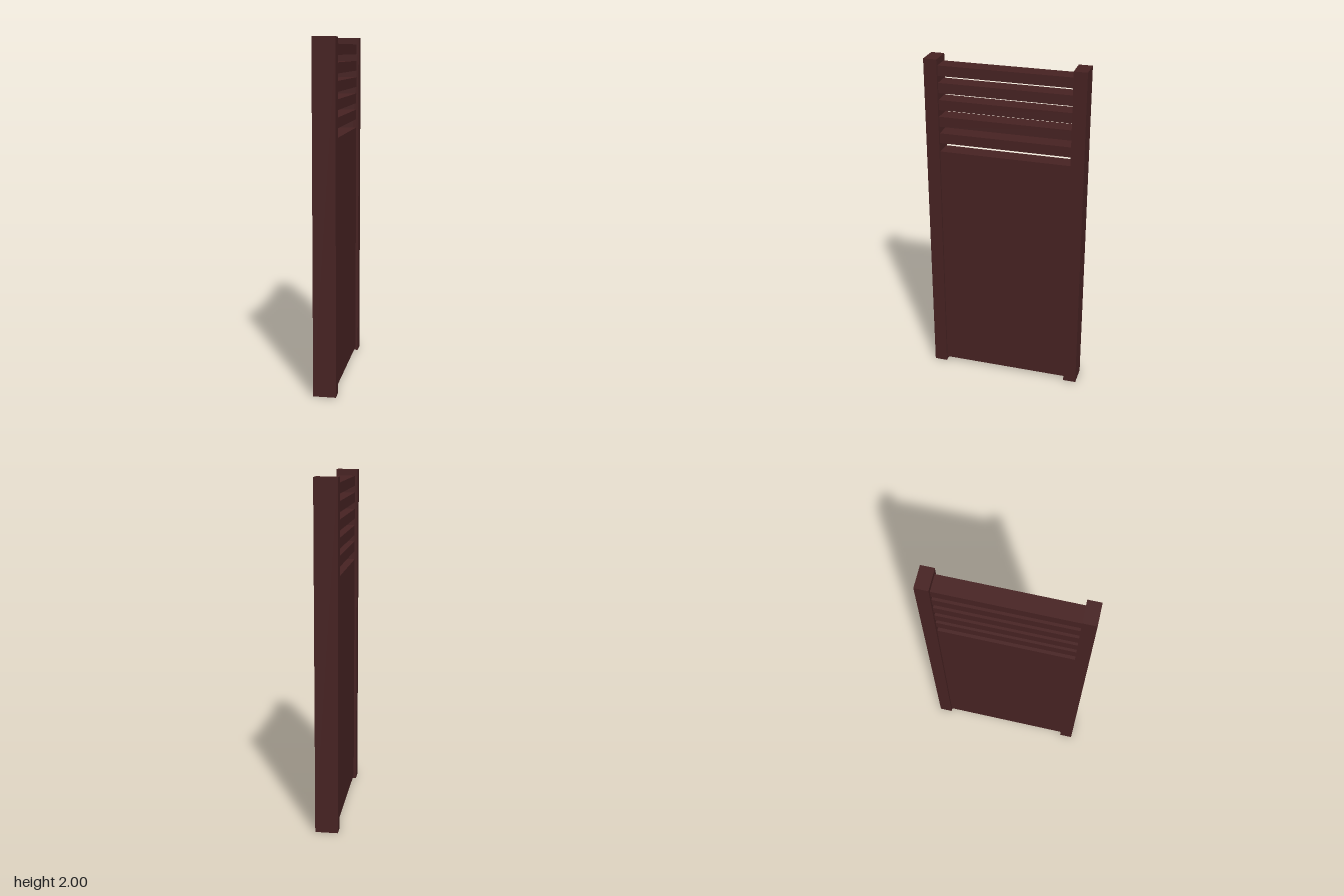
import * as THREE from 'three';

export function createModel() {
  const model = new THREE.Group();
  model.name = 'slattedFencePanel';
  const darkWood = new THREE.MeshStandardMaterial({ name: 'darkRedWood', color: 0x482323 });

  // Box given by its size, base height and z centre
  function addBoard(name, width, height, depth, baseY, z = 0) {
    const board = new THREE.Mesh(new THREE.BoxGeometry(width, height, depth), darkWood);
    board.name = name;
    board.position.set(0, baseY + height / 2, z);
    model.add(board);
  }

  const postDepth = 0.077;
  const postZ = 0.4245;
  const span = 2 * postZ - postDepth;

  // Upright posts at both ends
  addBoard('frontPost', 0.13, 2, postDepth, 0, postZ);
  addBoard('backPost', 0.13, 2, postDepth, 0, -postZ);

  // Solid panel, raised slightly off the ground
  addBoard('solidPanel', 0.1, 1.43, span, 0.02);

  // Open slats above the panel
  for (let i = 0; i < 5; i++) {
    addBoard(`slat${i + 1}`, 0.1, 0.06, span, 1.502 + i * 0.1);
  }

  return model;
}
